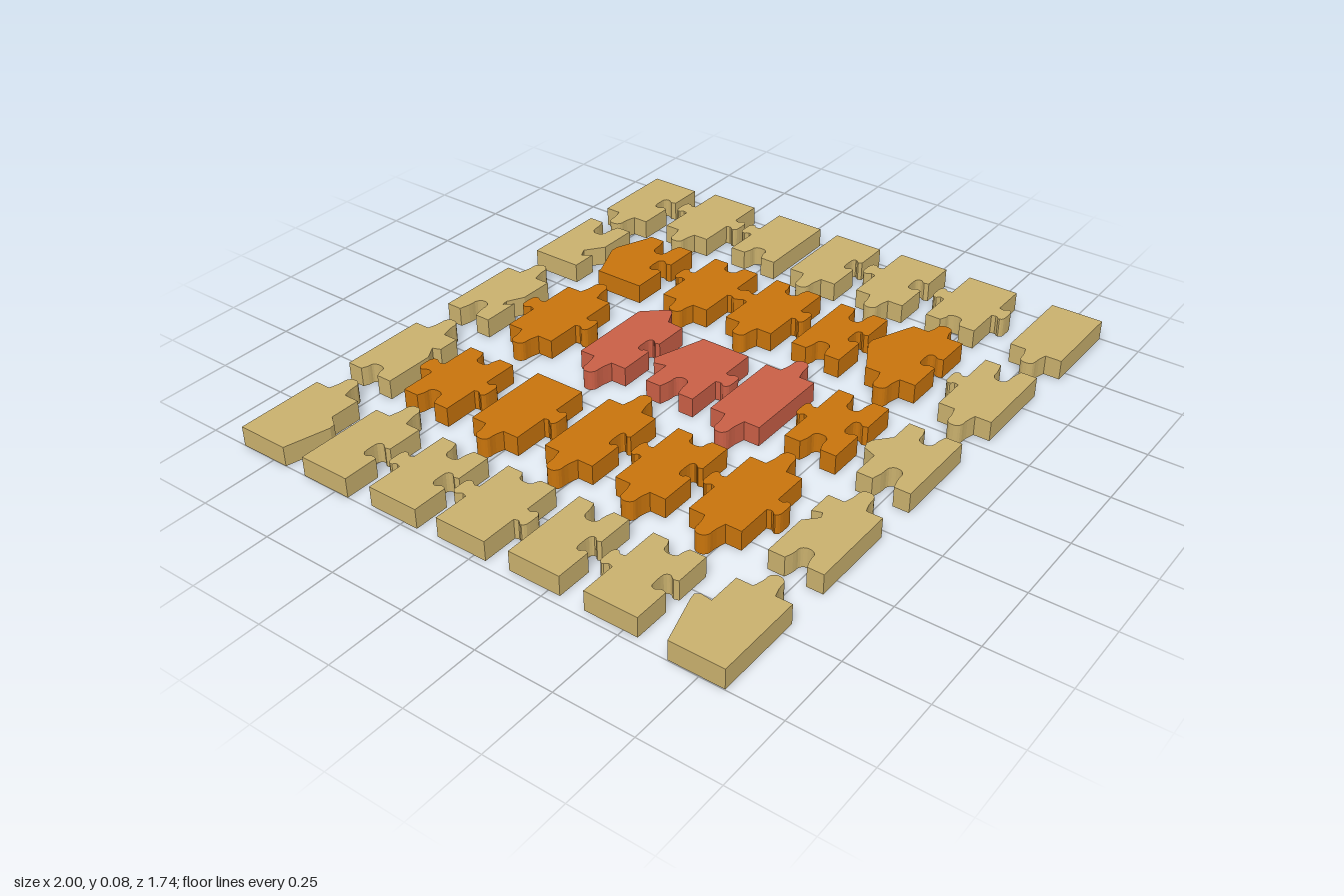
import * as THREE from 'three';

// Lengths in the layout are in hundredths of a unit.
const U = 0.01, HALF_W = 14.5, HALF_D = 8.6, HEIGHT = 0.065;

const colour = (color) => new THREE.MeshStandardMaterial({ color, side: THREE.DoubleSide });
const materials = { border: colour(0xc9b06d), ring: colour(0xc8740c), centre: colour(0xc95f46) };

// Half profiles of a knob: [distance from its axis, share of its height]
const bulb = [[2.8, 0], [2.4, 0.35], [3.4, 0.65], [2.6, 0.95]];
const finger = [[3.4, 0], [2.5, 0.45], [2.3, 0.8], [1.2, 0.97]];

// Smooth knob on an edge: positive height is a tab, negative a socket
function knob(height, profile) {
  if (!height) return [];
  const side = profile.map(([s, h]) => [s, h * height]);
  const points = [...side.map(([s, h]) => [-s, h]), [0, height], ...side.reverse()];
  return new THREE.SplineCurve(points.map(([s, h]) => new THREE.Vector2(s, h)))
    .getPoints(18).map((p) => [p.x, p.y]);
}

// An edge is a knob height or a custom run of [along, outward] points
const edge = (spec, profile) => (Array.isArray(spec) ? spec : knob(spec, profile));

function outline(back, left, front, right) {
  const b = edge(back, bulb), l = edge(left, finger);
  const f = edge(front, bulb), r = edge(right, finger);
  const points = [
    [-HALF_W, -HALF_D], ...b.map(([s, h]) => [s, -HALF_D - h]),
    [HALF_W, -HALF_D], ...l.map(([s, h]) => [HALF_W + h, s]),
    [HALF_W, HALF_D], ...[...f].reverse().map(([s, h]) => [s, HALF_D + h]),
    [-HALF_W, HALF_D], ...[...r].reverse().map(([s, h]) => [-HALF_W - h, s]),
  ].map(([x, z]) => new THREE.Vector2(x * U, -z * U));
  // drop coincident points where a custom edge starts at a corner
  return points.filter((p, i) => p.distanceTo(points[(i + 1) % points.length]) > 1e-5);
}

// Hollow piece: lid and walls, open underneath
function shell(points) {
  const solid = new THREE.ExtrudeGeometry(new THREE.Shape(points), { depth: HEIGHT, bevelEnabled: false });
  const skip = solid.groups[0].count / 2; // bottom cap comes first
  const geometry = new THREE.BufferGeometry();
  for (const name of ['position', 'normal']) {
    geometry.setAttribute(name, new THREE.BufferAttribute(solid.attributes[name].array.slice(skip * 3), 3));
  }
  return geometry.rotateX(-Math.PI / 2);
}

export function createModel() {
  const model = new THREE.Group();
  model.name = 'jigsawPuzzle';
  let rowIndex = 0;

  // One row of pieces: [x, z, back edge, +x edge, front edge, -x edge]
  function row(...pieces) {
    const group = new THREE.Group();
    group.name = `puzzleRow${rowIndex + 1}`;
    pieces.forEach(([x, z, ...edges], col) => {
      const outer = rowIndex === 0 || rowIndex === 6 || col === 0 || col === 4;
      const inner = col === 2 && rowIndex > 1 && rowIndex < 5;
      const kind = outer ? 'border' : inner ? 'centre' : 'ring';
      const mesh = new THREE.Mesh(shell(outline(...edges)), materials[kind]);
      mesh.name = `${kind}Piece${col + 1}`;
      // one piece sits slightly proud of the others
      mesh.position.set(x * U, rowIndex === 5 && col === 3 ? 0.013 : 0, z * U);
      group.add(mesh);
    });
    model.add(group);
    rowIndex++;
  }

  row(
    [-85.5, -78.6, 0, 7.5, [[-14.5, 0], [0, 3.7], [2, 3.3], [4.3, 0]], 0],
    [-43.3, -78.6, 0, 8, [[2, 0], [6.5, -2.6], [7.5, 0]], -4.5],
    [0.3, -78.6, 0, 8, [[-2, 0], [-4.5, -2.7], [-2.5, -3], [3, 0]], -8],
    [43.9, -78.6, 0, -7.5, [[-6, 0], [-8, -3], [-5, -4.5], [1, 0]], 0],
    [82.1, -78.6, 0, 0, -5, 7.5],
  );
  row(
    [-85.5, -53.7, 0, 8, -5, 0],
    [-43.9, -54.8, 5.3, -5, 4.3, -5.3],
    [2.4, -54.3, 5, 8, 4.8, 7],
    [45.5, -53.2, [[-13, 0], [-1, 5], [1.5, 5], [13, 0.3]], -8, -5, 0],
    [84.2, -54, 4.3, 0, 4.3, 7],
  );
  row(
    [-84.2, -28.6, 4.3, -6.2, -4.8, 0],
    [-42.8, -28.6, 0, 0, 4.3, 6.5],
    [3.7, -26.2, 0, [[-8.6, 0], [-2, 6], [-0.5, 6.5], [0.5, 5.5], [2.8, 0.5]], -4.3, 8],
    [46, -26.5, 4.3, -4.5, 4.5, 6.5],
    [84.5, -26.5, 4.3, 0, 0, -5.5],
  );
  row(
    [-83.4, -4.5, 4.8, -3, 4.3, 0],
    [-40.9, -2.7, 0, 8, -3.5, 8],
    [2.4, 0, [[-4.5, 0], [-5.5, 4], [-3, 5.6], [13, 0.2]], 0, 4.8, -7.5],
    [46.3, -1.9, 4.8, -5.5, 4.3, 6.5],
    [84.2, -2.4, 0, 0, -3.8, 8],
  );
  row(
    [-82.6, 20.3, 0, -6.5, -4, 0],
    [-40.9, 22.7, 4, -4, -4.3, 7],
    [1.9, 24.1, 0, 8, 0, 8.5],
    [46, 23.3, 0, -7, -4.3, -6],
    [85.3, 22.5, 4.8, 0, -4.8, 7],
  );
  row(
    [-83.2, 46, 4.3, -4.5, -4.8, 0],
    [-40.1, 47.3, 4.3, 8, 4.3, 7.5],
    [3.2, 49.2, 4, -7, -4.8, -6.5],
    [45.7, 50, [[-14, 0], [-3, 6], [0, 6.2], [14, 0.2]], 5.8, -5.3, 7.5],
    [85.3, 48.4, 4.3, 0, 4.3, -4.5],
  );
  row(
    [-85.3, 74.1, [[-14.5, 0], [1, 4.6], [3.3, 5], [4.2, 3.5], [3.8, 0]], 7, 0, 0],
    [-42.2, 74.3, [[1, 0], [5, -3.8], [7, -3], [6, 0]], 7.5, 0, -6.5],
    [0.3, 74.9, [[-5, 0], [-3.3, 4.2], [-1, 4.9], [1.2, 4.2], [6, 0]], -6.5, 0, -8],
    [43.6, 76.5, 4.3, -8, 0, 7.5],
    [85.3, 78.3, 0, 0, 0, 7],
  );
  return model;
}
